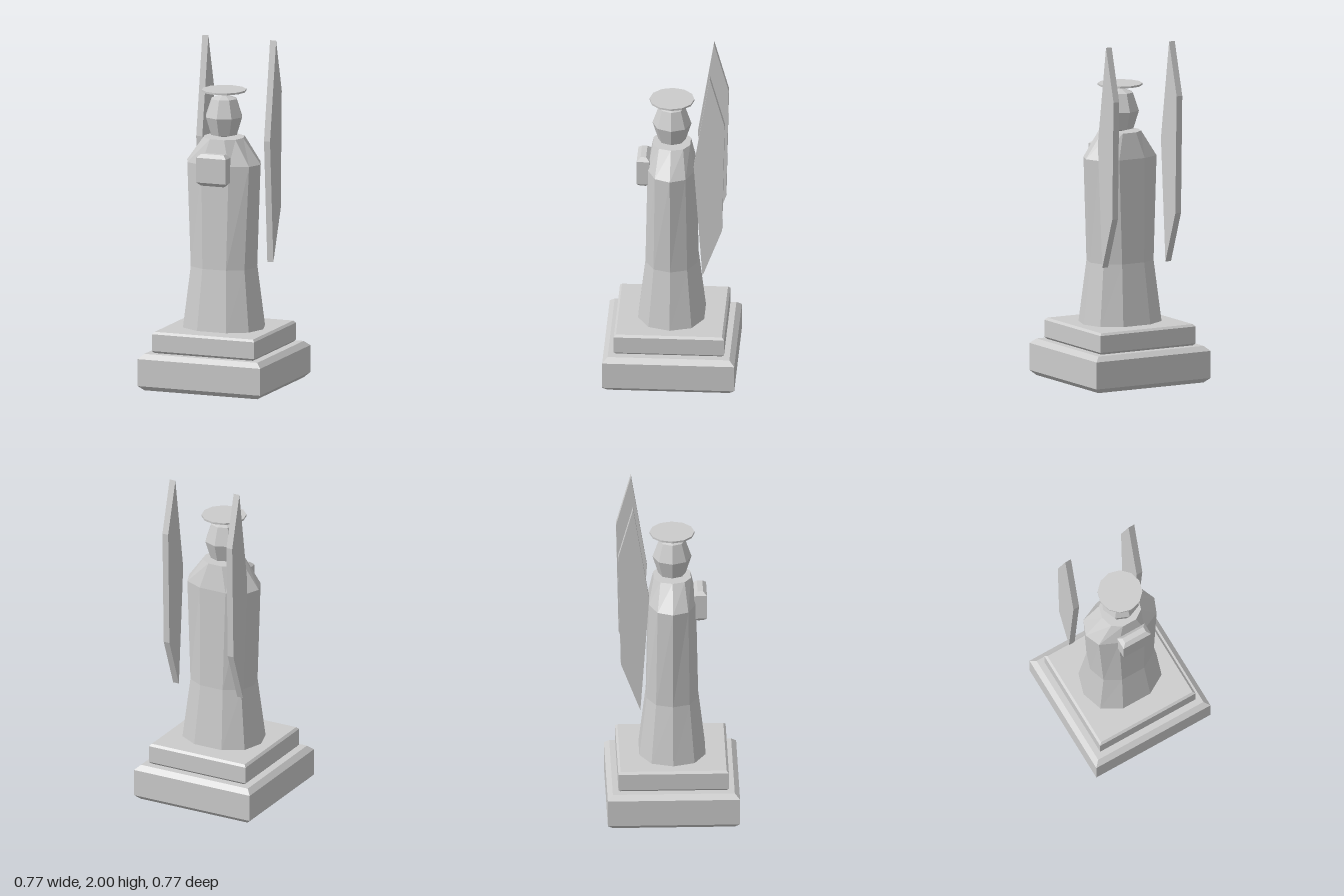
import * as THREE from 'three';

const material = new THREE.MeshStandardMaterial({ color: 0xcccccc, flatShading: true });

// Stack scaled copies of a flat outline: each section is [y, scaleX, scaleZ]
function loft(outline, sections) {
  const rings = sections.map(([y, sx, sz]) => outline.map(([x, z]) => [x * sx, y, z * sz]));
  const n = outline.length, pos = [];
  const tri = (a, b, c) => pos.push(...a, ...b, ...c);
  const bottom = rings[0], top = rings[rings.length - 1];
  for (let i = 0; i < n; i++) {
    const j = (i + 1) % n;
    for (let k = 0; k < rings.length - 1; k++) {
      const p = rings[k], q = rings[k + 1];
      tri(p[i], q[i], p[j]);
      tri(q[i], q[j], p[j]);
    }
    tri([0, bottom[0][1], 0], bottom[i], bottom[j]);
    tri([0, top[0][1], 0], top[j], top[i]);
  }
  const geometry = new THREE.BufferGeometry();
  geometry.setAttribute('position', new THREE.Float32BufferAttribute(pos, 3));
  geometry.computeVertexNormals();
  return geometry;
}

// Block with bevelled top and bottom rims
function bevelledBlock(hx, hz, y0, y1, inset, rise) {
  const square = [[1, -1], [1, 1], [-1, 1], [-1, -1]];
  return loft(square, [
    [y0, hx - inset, hz - inset],
    [y0 + rise, hx, hz],
    [y1 - rise, hx, hz],
    [y1, hx - inset, hz - inset],
  ]);
}

export function createModel() {
  const model = new THREE.Group();
  model.name = 'angelStatue';
  const add = (name, geometry) => {
    const mesh = new THREE.Mesh(geometry, material);
    mesh.name = name;
    model.add(mesh);
    return mesh;
  };

  // Stepped pedestal
  add('pedestalBase', bevelledBlock(0.383, 0.383, 0, 0.215, 0.03, 0.028));
  add('pedestalStep', bevelledBlock(0.32, 0.32, 0.215, 0.34, 0.013, 0.013));

  // Ten-sided robe: flared hem, waist, chest, sloping shoulders
  const quarter = [[0.84, 0.65], [0.37, 1]];
  const outline = [
    [1, 0], ...quarter,
    ...quarter.map(([x, z]) => [-x, z]).reverse(),
    [-1, 0], ...quarter.map(([x, z]) => [-x, -z]),
    ...quarter.map(([x, z]) => [x, -z]).reverse(),
  ];
  add('robe', loft(outline, [
    [0.34, 0.245, 0.192],
    [0.7, 0.2, 0.15],
    [1.31, 0.23, 0.137],
    [1.46, 0.12, 0.108],
  ]));

  // Faceted head
  const headProfile = [[0, 1.455], [0.08, 1.475], [0.113, 1.58], [0.077, 1.685], [0, 1.715]];
  add('head', new THREE.LatheGeometry(headProfile.map(([r, y]) => new THREE.Vector2(r, y)), 8));

  // Thin disc halo
  add('halo', new THREE.CylinderGeometry(0.13, 0.13, 0.011, 12)).position.y = 1.733;

  // Block held at the chest
  add('chestBlock', bevelledBlock(0.092, 0.038, 1.197, 1.385, 0.022, 0.021)).position.z = 0.162;

  // Pair of flat upright wings, outlined in z and y
  const wingShape = new THREE.Shape(
    [[-0.232, 2], [-0.318, 1.69], [-0.303, 1], [-0.19, 0.7], [-0.139, 1.42]]
      .map(([z, y]) => new THREE.Vector2(z, y)));
  const wing = new THREE.ExtrudeGeometry(wingShape, { depth: 0.038, bevelEnabled: false });
  wing.translate(0, 0, -0.019).rotateY(-Math.PI / 2);
  for (const side of [-1, 1]) {
    add(side > 0 ? 'leftWing' : 'rightWing', wing).position.x = side * 0.212;
  }

  return model;
}
